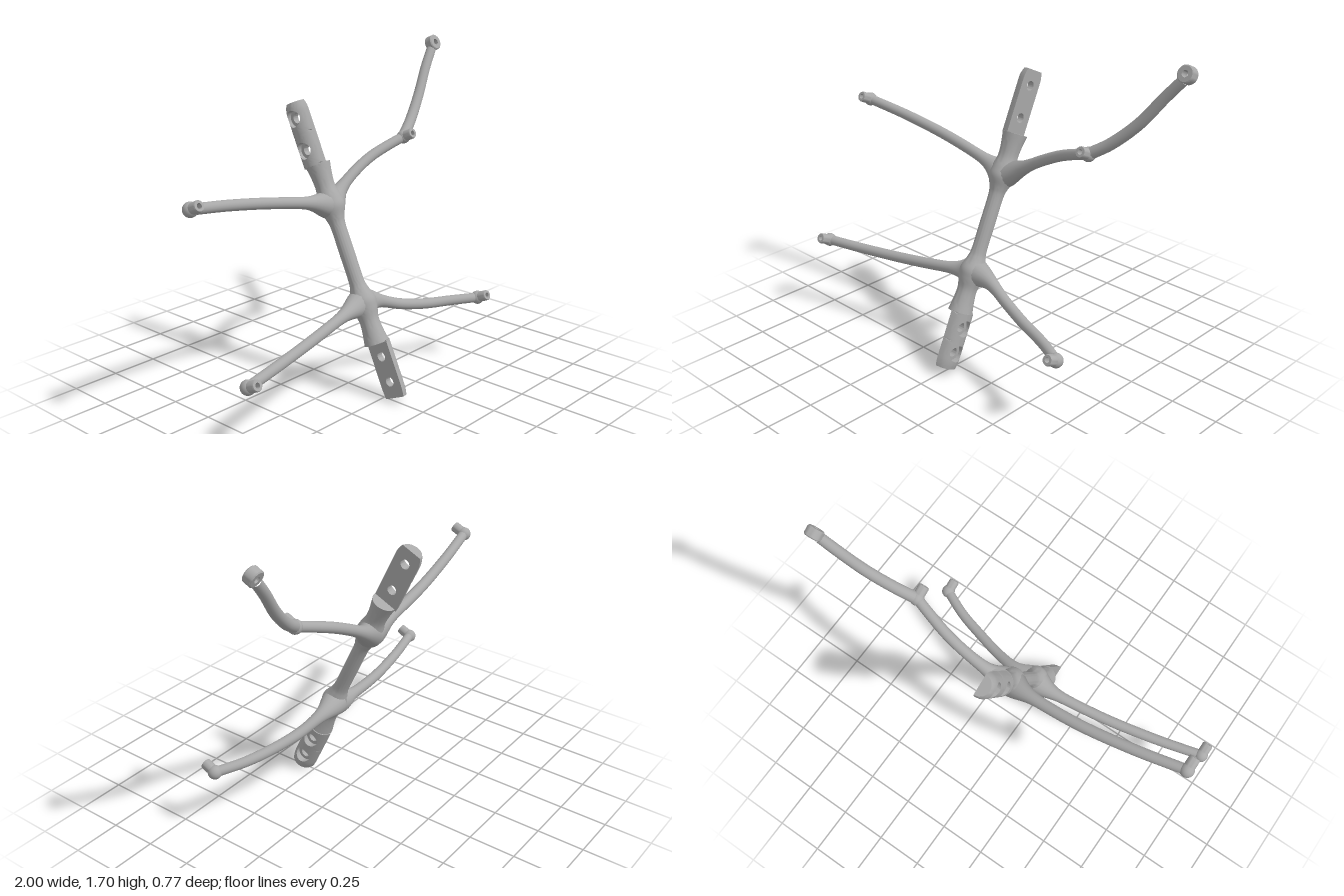
import * as THREE from 'three';
import { toCreasedNormals } from 'three/addons/utils/BufferGeometryUtils.js';

const TILT = -0.436; // lean of the spine
const R = 0.068;     // radius of the half-round tongues

export function createModel() {
  const model = new THREE.Group();
  const grey = new THREE.MeshStandardMaterial({ color: 0xa8a8a8 });
  grey.name = 'cast grey';

  const add = (parent, name, geometry, pos = [0, 0, 0], rotX = 0) => {
    const mesh = new THREE.Mesh(geometry, grey);
    mesh.name = name;
    mesh.position.set(...pos);
    mesh.rotation.x = rotX;
    parent.add(mesh);
    return mesh;
  };
  const lathe = (pts, segs = 28) => toCreasedNormals(
    new THREE.LatheGeometry(pts.map(p => new THREE.Vector2(...p)), segs), 0.6);

  // Leaning spine: slim shaft, two swollen nodes, flared ends
  const spine = new THREE.Group();
  spine.name = 'spine';
  spine.position.set(-0.013, 0.724, 0.005);
  spine.rotation.x = TILT;
  model.add(spine);
  const half = [[0.039, 0], [0.039, 0.14], [0.048, 0.19], [0.068, 0.245], [0.064, 0.29],
    [0.051, 0.35], [0.054, 0.41], [0.064, 0.475]];
  const profile = [...half.slice(1).reverse().map(([r, v]) => [r, -v]), ...half];
  const smooth = new THREE.SplineCurve(profile.map(p => new THREE.Vector2(...p)))
    .getPoints(70).map(p => [p.x, p.y]);
  add(spine, 'shaft', lathe([[0, -0.475], ...smooth, [0, 0.475]], 36));

  // Half-round tongues with two counterbored holes each
  const upper = add(spine, 'upperTongue', tongue([0.47, 0.64, 0.805], [0.556, 0.7245], 0.2));
  upper.position.z = -0.005;
  const lower = add(spine, 'lowerTongue', tongue([0.47, 0.615, 0.767], [0.548, 0.682], 0.1));
  lower.rotation.z = Math.PI;

  // Curved arms, flared where they leave the nodes
  const arm = (name, pts, flare = 0.042) => {
    const curve = new THREE.CatmullRomCurve3(pts.map(p => new THREE.Vector3(...p)));
    const n = 48, sides = 18;
    const geo = new THREE.TubeGeometry(curve, n, 1, sides);
    const pos = geo.attributes.position, length = curve.getLength(), v = new THREE.Vector3();
    for (let i = 0; i <= n; i++) {
      const c = curve.getPointAt(i / n), s = i / n * length;
      const r = 0.03 - 0.004 * i / n + flare * Math.exp(-((s / 0.1) ** 2));
      for (let j = 0; j <= sides; j++) {
        const k = i * (sides + 1) + j;
        v.fromBufferAttribute(pos, k).sub(c).multiplyScalar(r).add(c);
        pos.setXYZ(k, v.x, v.y, v.z);
      }
    }
    add(model, name, geo);
  };
  arm('upperRightArm', [[-0.013, 0.955, -0.11], [-0.1, 0.98, -0.125], [-0.4, 1.045, -0.13],
    [-0.7, 1.105, -0.1], [-0.962, 1.152, -0.055]]);
  arm('lowerRightArm', [[-0.013, 0.49, 0.105], [-0.1, 0.468, 0.105], [-0.4, 0.427, 0.15],
    [-0.7, 0.411, 0.215], [-0.962, 0.412, 0.283]]);
  arm('lowerLeftArm', [[-0.013, 0.49, 0.105], [0.1, 0.465, 0.105], [0.25, 0.412, 0.138],
    [0.4, 0.381, 0.182], [0.56, 0.366, 0.232], [0.71, 0.358, 0.3]]);
  arm('upperLeftArm', [[-0.013, 0.955, -0.11], [0.08, 1.005, -0.137], [0.2, 1.075, -0.148],
    [0.33, 1.14, -0.142], [0.45, 1.187, -0.118], [0.54, 1.218, -0.095]]);
  arm('outerLeftArm', [[0.54, 1.218, -0.095], [0.64, 1.285, -0.13], [0.76, 1.4, -0.173],
    [0.866, 1.54, -0.21], [0.94, 1.63, -0.23]], 0);

  // Rounded arm tips with drilled bosses facing forward
  const bossGeo = lathe([[0, 0], [0.028, 0], [0.028, 0.064], [0.025, 0.07], [0.013, 0.07],
    [0.013, 0.035], [0, 0.035]], 24);
  const tipGeo = new THREE.SphereGeometry(0.036, 24, 16);
  const face = Math.PI / 2 + TILT;
  [['upperRight', [-0.964, 1.152, -0.055]], ['lowerRight', [-0.964, 0.412, 0.283]],
    ['lowerLeft', [0.712, 0.358, 0.302]], ['elbow', [0.542, 1.218, -0.095]]].forEach(([name, p]) => {
    add(model, name + 'Tip', tipGeo, p);
    add(model, name + 'Boss', bossGeo, p, face);
  });

  // Eyelet at the end of the long arm
  add(model, 'eyelet', lathe([[0.016, -0.024], [0.037, -0.024], [0.042, -0.019], [0.042, 0.019],
    [0.037, 0.024], [0.016, 0.024], [0.016, -0.024]]), [0.957, 1.658, -0.235], face);

  return model;
}

// Half-round bar, flat towards +x, made of one ring-shaped patch around each hole
function tongue(edges, holes, taper) {
  const end = edges[2], bore = 0.025, counterbore = 0.043, seat = 0.034;
  const perSide = 14, steps = 6, n = perSide * 4;
  const corners = [[1, -1], [1, 1], [-1, 1], [-1, -1]];
  const positions = [], index = [];
  const height = w => Math.sqrt(Math.max(0, R * R - w * w));

  holes.forEach((hole, cell) => {
    const base = positions.length / 3;
    const rows = steps + 5; // points in each closed cross-section loop
    for (let j = 0; j < n; j++) {
      const side = Math.floor(j / perSide), t = (j % perSide) / perSide;
      const a = corners[side], b = corners[(side + 1) % 4];
      const along = (a[0] + (b[0] - a[0]) * t + 1) / 2;
      const ev = edges[cell] + (edges[cell + 1] - edges[cell]) * along;
      const ew = R * (a[1] + (b[1] - a[1]) * t);
      const angle = Math.atan2(ew, ev - hole);
      const ring = r => [hole + r * Math.cos(angle), r * Math.sin(angle)];
      const [cv, cw] = ring(counterbore);
      const loop = [[0, ev, ew], [0, ...ring(bore)], [seat, ...ring(bore)], [seat, cv, cw]];
      for (let k = 0; k <= steps; k++) {
        const f = k / steps, w = cw + (ew - cw) * f;
        loop.push([height(w), cv + (ev - cv) * f, w]);
      }
      // Narrow the free end slightly
      loop.forEach(([h, v, w]) => {
        const s = 1 - taper * Math.max(0, (v - end + 0.055) / 0.055) ** 2;
        positions.push(-h * s, v, w * s);
      });
    }
    for (let j = 0; j < n; j++) {
      for (let i = 0; i < rows; i++) {
        const at = (ii, jj) => base + (jj % n) * rows + ii % rows;
        const a = at(i, j), b = at(i + 1, j), c = at(i, j + 1), d = at(i + 1, j + 1);
        index.push(a, c, b, b, c, d);
      }
    }
  });
  const geo = new THREE.BufferGeometry();
  geo.setAttribute('position', new THREE.Float32BufferAttribute(positions, 3));
  geo.setIndex(index);
  return toCreasedNormals(geo, 0.6);
}
